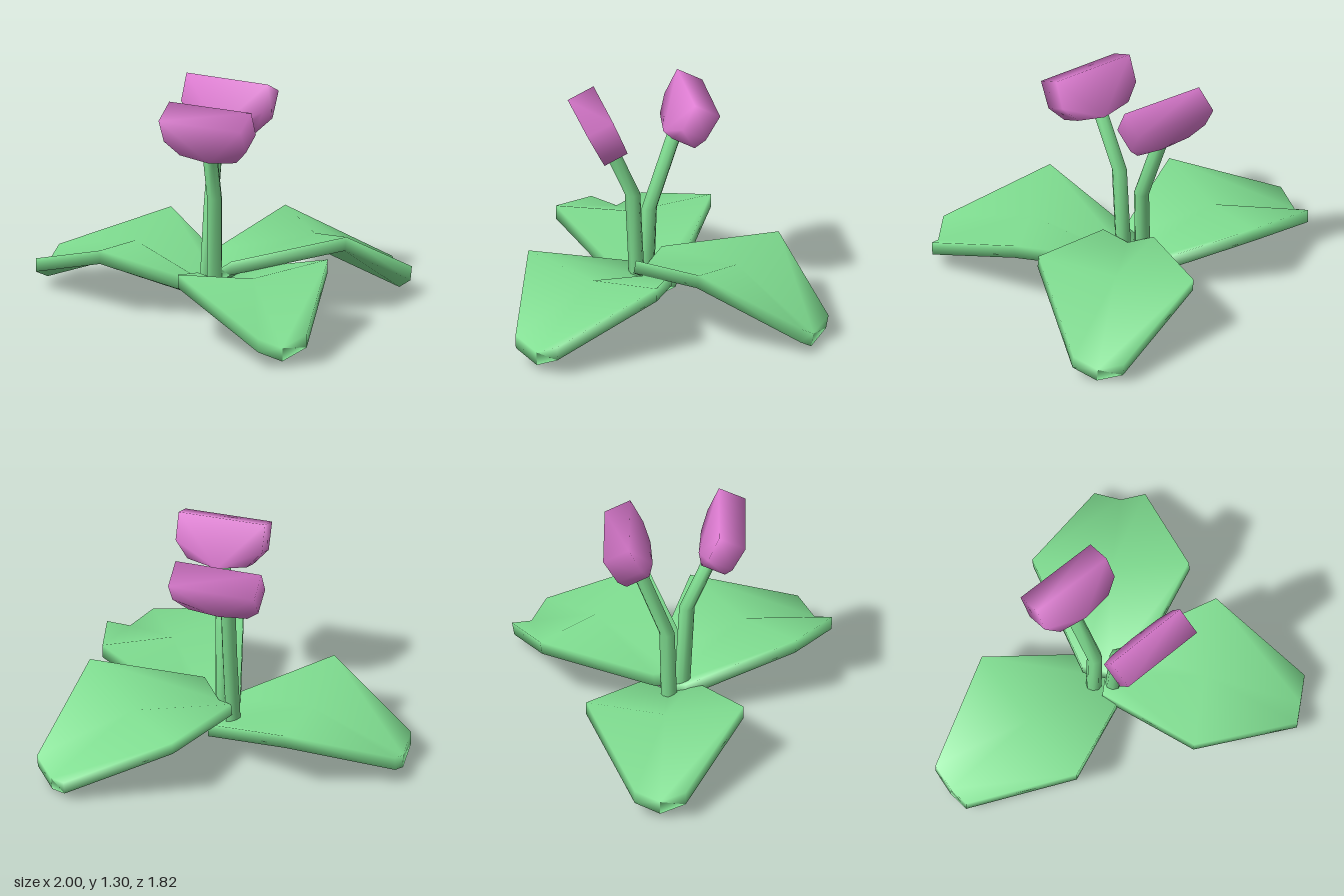
import * as THREE from 'three';

const green = new THREE.MeshStandardMaterial({ color: 0x7fdd90 });
const pink = new THREE.MeshStandardMaterial({ color: 0xdb7acf });

// Closed skin over rings of points (each ring right-handed about the loft direction)
function loft(rings) {
  const n = rings[0].length;
  const index = [];
  for (let i = 0; i < rings.length - 1; i++) {
    for (let j = 0; j < n; j++) {
      const a = i * n + j, b = i * n + (j + 1) % n;
      index.push(a, b, b + n, a, b + n, a + n);
    }
  }
  const end = (rings.length - 1) * n;
  for (let k = 1; k < n - 1; k++) {
    index.push(0, k + 1, k, end, end + k, end + k + 1);
  }
  const geometry = new THREE.BufferGeometry();
  geometry.setAttribute('position', new THREE.Float32BufferAttribute(rings.flat(2), 3));
  geometry.setIndex(index);
  geometry.computeVertexNormals();
  return geometry;
}

// Leaf: shallow V section, arched in the middle, tip along local +x
function leafGeometry() {
  const section = (x, y, w) => [
    [x, y - 0.07, 0], [x, y, w], [x, y - 0.08, w],
    [x, y - 0.15, 0], [x, y - 0.08, -w], [x, y, -w],
  ];
  return loft([section(-0.56, -0.22, 0.145), section(0, 0, 0.447), section(0.56, -0.22, 0.145)]);
}

// Stem: ring of points around each station of a bent path
function stemGeometry(path, sides = 8) {
  return loft(path.map(([x, y, z, r]) => Array.from({ length: sides }, (_, i) => {
    const a = (i / sides) * Math.PI * 2;
    return [x + r * Math.sin(a), y, z + r * Math.cos(a)];
  })));
}

// Blossom: thick cup-shaped slab, flat on top, slightly thinner below
function blossomGeometry() {
  const outline = [
    [0, 0], [0.175, 0.035], [0.255, 0.13], [0.255, 0.293],
    [-0.255, 0.293], [-0.255, 0.13], [-0.175, 0.035],
  ];
  const layer = (s) => outline.map(([x, y]) => [x, y, s * (0.073 + 0.035 * y)]);
  return loft([layer(-1), layer(1)]);
}

export function createModel() {
  const model = new THREE.Group();
  model.name = 'flowerPlant';

  const add = (name, geometry, material, position = [0, 0, 0], rotation = [0, 0, 0]) => {
    const mesh = new THREE.Mesh(geometry, material);
    mesh.name = name;
    mesh.position.set(...position);
    mesh.rotation.set(...rotation, 'YZX');
    model.add(mesh);
  };

  // Three leaves: yaw around the plant, with slight pitch and roll
  const leaf = leafGeometry();
  add('rightLeaf', leaf, green, [-0.44, 0.4, 0.015], [0, Math.PI, 0]);
  add('backLeaf', leaf, green, [0.48, 0.45, -0.435], [-0.09, 0.856, -0.15]);
  add('frontLeaf', leaf, green, [0.51, 0.43, 0.415], [0, -0.79, -0.04]);

  // Two bent stems
  add('frontStem', stemGeometry([
    [0.1, 0.1, 0.085, 0.045], [0.113, 0.7, 0.115, 0.044], [0.155, 1.04, 0.262, 0.044],
  ]), green);
  add('backStem', stemGeometry([
    [0.015, 0.07, 0.02, 0.045], [0.033, 0.57, 0.005, 0.044], [-0.01, 1.04, -0.16, 0.044],
  ]), green);

  // Two blossoms leaning apart
  const blossom = blossomGeometry();
  add('frontBlossom', blossom, pink, [0.175, 1.0, 0.245], [0.44, 0.05, 0]);
  add('backBlossom', blossom, pink, [0.033, 1.005, -0.14], [-0.5, 0.03, 0]);

  return model;
}
